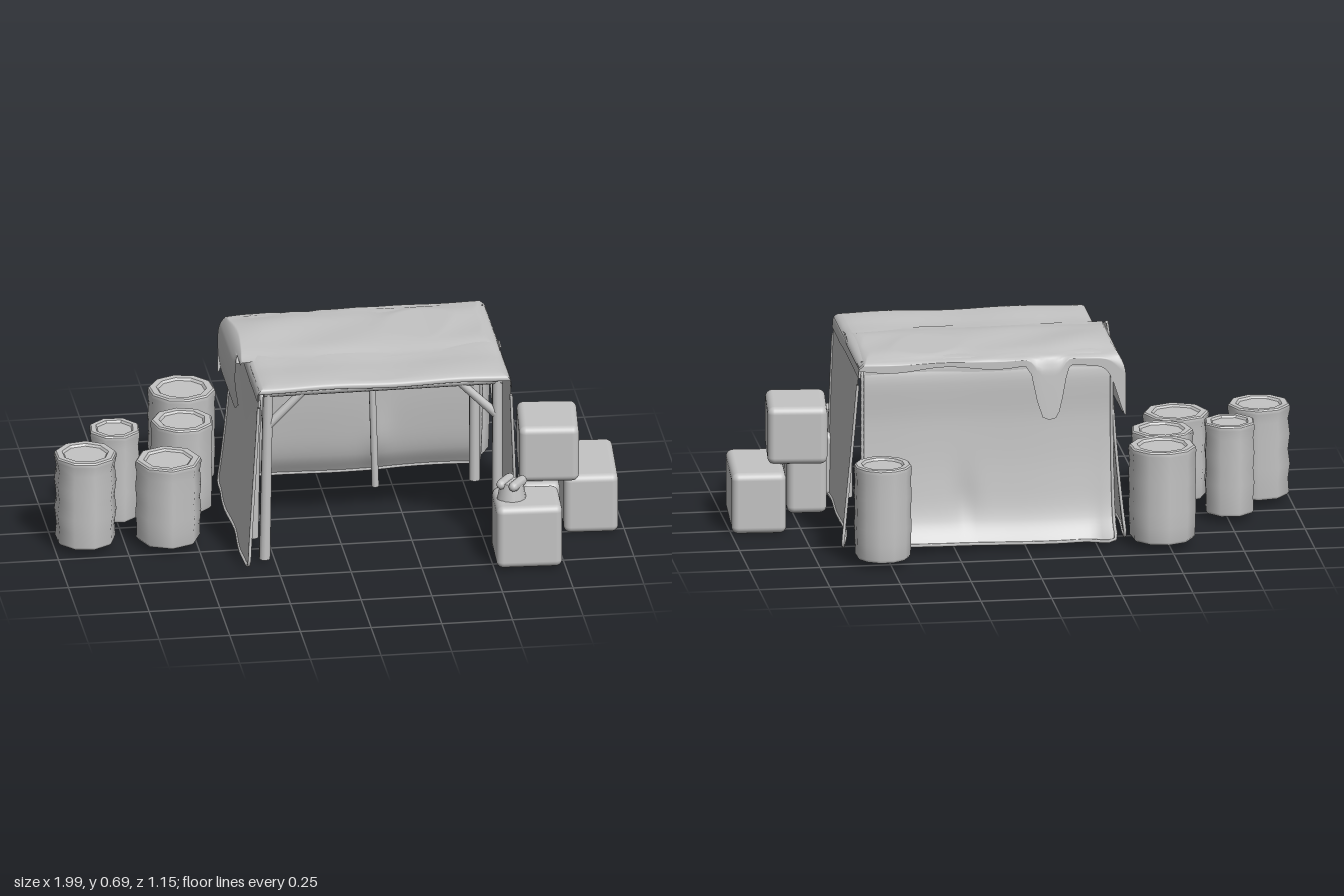
import * as THREE from 'three';
import { toCreasedNormals } from 'three/addons/utils/BufferGeometryUtils.js';
import { RoundedBoxGeometry } from 'three/addons/geometries/RoundedBoxGeometry.js';

const clay = new THREE.MeshStandardMaterial({ color: 0xc4c4c4, side: THREE.DoubleSide });
clay.name = 'greyClay';

const V = (x, y, z) => new THREE.Vector3(x, y, z);
const lerp = THREE.MathUtils.lerp;
const bump = (x, centre, width) => Math.exp(-(((x - centre) / width) ** 2));

function add(parent, name, geometry, x = 0, y = 0, z = 0, turn = 0) {
  const mesh = new THREE.Mesh(geometry, clay);
  mesh.name = name;
  mesh.position.set(x, y, z);
  mesh.rotation.y = turn;
  parent.add(mesh);
  return mesh;
}

// Cloth surface: a grid whose points follow a rule of u and v in 0..1
function sheet(nu, nv, rule) {
  const g = new THREE.PlaneGeometry(1, 1, nu, nv);
  const p = g.attributes.position;
  for (let i = 0; i < p.count; i++) p.setXYZ(i, ...rule(p.getX(i) + 0.5, p.getY(i) + 0.5));
  g.computeVertexNormals();
  return g;
}

// Hanging wall with a rolled hem down both ends and along the ground
function addWall(parent, name, rule) {
  add(parent, name, sheet(40, 30, rule));
  const at = (u, v) => V(...rule(u, v));
  const path = [];
  for (let i = 0; i <= 8; i++) path.push(at(0, 0.9 - i * 0.11));
  for (let i = 0; i <= 10; i++) path.push(at(0.02 + i * 0.096, 0));
  for (let i = 0; i <= 8; i++) path.push(at(1, 0.02 + i * 0.11));
  add(parent, name + 'Hem', new THREE.TubeGeometry(new THREE.CatmullRomCurve3(path), 90, 0.006, 6));
}

// Smooth 2D path used as a cloth profile
function profile(points) {
  const curve = new THREE.CatmullRomCurve3(points.map(([a, b]) => V(a, b, 0)), false, 'centripetal');
  return t => curve.getPoint(t);
}

function pole(parent, name, a, b, r) {
  const mesh = add(parent, name, new THREE.CylinderGeometry(r * 0.9, r, a.distanceTo(b), 10));
  mesh.position.copy(a).add(b).multiplyScalar(0.5);
  mesh.quaternion.setFromUnitVectors(V(0, 1, 0), b.clone().sub(a).normalize());
}

function buildFrame() {
  const frame = new THREE.Group();
  frame.name = 'tentFrame';
  for (const [x, z] of [[-0.286, 0.355], [0.537, 0.355], [-0.3, 0.16], [-0.285, -0.22], [0.54, -0.24]])
    pole(frame, 'post', V(x, 0.01, z), V(x + (x < 0 ? 0.012 : 0), 0.65, z), 0.02);
  pole(frame, 'backPost', V(0.19, 0.003, -0.245), V(0.17, 0.65, -0.235), 0.013);
  for (const z of [0.355, -0.235]) {
    pole(frame, 'crossBeam', V(-0.29, 0.645, z), V(0.555, 0.645, z), 0.02);
    pole(frame, 'leftBrace', V(-0.275, 0.515, z), V(-0.15, 0.64, z), 0.016);
    pole(frame, 'rightBrace', V(0.53, 0.515, z), V(0.405, 0.64, z), 0.016);
  }
  for (const x of [-0.28, 0.535]) {
    pole(frame, 'sideBeam', V(x, 0.645, 0.36), V(x, 0.645, -0.25), 0.017);
    pole(frame, 'sideBrace', V(x, 0.52, 0.345), V(x, 0.635, 0.23), 0.014);
  }
  return frame;
}

function buildCloth() {
  const cloth = new THREE.Group();
  cloth.name = 'tentCloth';

  // Main roof, rolled over at every edge
  const roofX = profile([[-0.316, 0.62], [-0.315, 0.65], [-0.295, 0.671], [0.1, 0.673], [0.55, 0.675], [0.578, 0.658], [0.584, 0.62]]);
  const roofZ = profile([[0.375, 0.65], [0.39, 0.652], [0.39, 0.666], [0.365, 0.675], [0.05, 0.676], [-0.245, 0.675], [-0.272, 0.655], [-0.276, 0.62]]);
  add(cloth, 'roof', sheet(60, 60, (u, v) => {
    const a = roofX(u), b = roofZ(v);
    const wave = 0.003 * Math.sin(a.x * 14 + b.x * 6) - 0.004 * bump(b.x, 0.2, 0.05);
    return [a.x, Math.min(a.y, b.y) + wave, b.x];
  }));

  // Loose second cover with a left overhang and a rounded tongue at the back
  const coverX = profile([[-0.35, 0.46], [-0.362, 0.56], [-0.352, 0.645], [-0.31, 0.694], [-0.1, 0.69], [0.3, 0.684], [0.545, 0.68], [0.582, 0.655]]);
  add(cloth, 'roofCover', sheet(140, 50, (u, v) => {
    const a = coverX(u);
    const tongue = Math.exp(-(((a.x + 0.09) / 0.055) ** 4));
    const side = bump(a.x, -0.37, 0.05);
    const drop = 0.03 + 0.2 * Math.max(tongue, side) + 0.008 * Math.sin(a.x * 17);
    const rear = -0.25 - 0.018 * bump(a.x, -0.1, 0.06) - 0.02 * bump(a.x, 0.13, 0.07) - 0.015 * bump(a.x, 0.56, 0.1);
    const z = v < 0.7
      ? lerp(0.155 + 0.012 * Math.sin(a.x * 9), rear, v / 0.7)
      : 0;
    if (v < 0.7) {
      const ridge = 0.01 * bump(a.x, -0.22, 0.12) + 0.012 * bump(a.x, 0.33, 0.1);
      const top = 0.683 + ridge * bump(z, -0.12, 0.14) + 0.002 * Math.sin(a.x * 12 + z * 20) - 0.01 * bump(v, 0, 0.1);
      const hang = a.y < 0.66 ? 0.05 * bump(v, 0, 0.1) : 0;
      return [a.x, Math.min(a.y + hang, top - 0.008 * bump(v, 0.7, 0.1)), z];
    }
    const t = (v - 0.7) / 0.3;
    const back = lerp(rear, -0.287, Math.min(1, Math.sqrt(t * 3)));
    return [a.x, Math.min(a.y, 0.675 - drop * t ** 1.3), back - 0.016 * t * tongue];
  }));

  // Back wall sweeping outwards at the ground
  const backEdge = profile([[-0.24, 0.672], [-0.273, 0.642], [-0.277, 0.45], [-0.292, 0.25], [-0.318, 0.1], [-0.357, 0.025]]);
  addWall(cloth, 'backWall', (u, v) => {
    const b = backEdge(1 - v), low = 1 - v;
    const x = lerp(-0.312, 0.57, u);
    const fold = 0.004 * Math.sin(x * 13) * low + 0.012 * bump(x, 0.21, 0.04) * bump(b.y, 0.16, 0.1);
    return [x, b.y - 0.004 * low * Math.sin(u * 5), b.x + fold - 0.035 * bump(u, 0, 0.05) * low ** 3];
  });

  // Left-hand wall (+x), flaring at the rear hem
  addWall(cloth, 'crateSideWall', (u, v) => {
    const low = 1 - v;
    const z = lerp(0.385, -0.27 - 0.05 * low ** 2, u);
    return [0.579 + 0.022 * low + 0.04 * low * u ** 4 + 0.004 * Math.sin(z * 15 + v * 3) * low, lerp(0.02, 0.66, v), z];
  });

  // Right-hand wall (-x), spreading towards the front corner
  addWall(cloth, 'barrelSideWall', (u, v) => {
    const low = 1 - v;
    const z = lerp(0.38 + 0.07 * low ** 2, -0.27 - 0.055 * low ** 2, u);
    return [-0.309 - 0.05 * low ** 1.4 + 0.005 * Math.sin(z * 16) * low, lerp(0.02, 0.66, v), z];
  });
  return cloth;
}

// Barrel: smooth banded staves, with a crisp rim, sunken lid and flat base
function buildBarrel(x, z, r, top, sides, turn, wear) {
  const base = 0.028, h = top - base;
  const barrel = new THREE.Group();
  barrel.name = 'barrel';
  const turned = pts => new THREE.LatheGeometry(pts.map(([a, b]) => new THREE.Vector2(a * r, b * h)), sides);
  add(barrel, 'barrelStaves', turned([[0.9, 0], [0.96, 0.03], [1 - wear, 0.18], [0.99, 0.34], [1 - wear, 0.5],
    [0.99, 0.67], [1 - wear, 0.84], [1, 0.95], [0.98, 0.985]]), x, base, z, turn);
  const lid = turned([[0.98, 0.985], [0.93, 1], [0.74, 0.998], [0.68, 0.975], [0, 0.975]]);
  add(barrel, 'barrelLid', toCreasedNormals(lid, 0.4), x, base, z, turn);
  add(barrel, 'barrelBase', turned([[0, 0], [0.9, 0]]), x, base, z, turn);
  return barrel;
}

function buildCrates() {
  const crates = new THREE.Group();
  crates.name = 'crates';
  // width, height, depth, x, bottom, z, turn
  [
    [0.21, 0.208, 0.262, 0.74, 0.218, 0.18, -0.1],
    [0.192, 0.22, 0.345, 0.892, 0.003, 0.11, -0.07],
    [0.14, 0.208, 0.15, 0.7, 0.006, 0.235, -0.05],
    [0.232, 0.232, 0.21, 0.627, 0.008, 0.467, -0.05],
  ].forEach(([w, h, d, x, y, z, turn]) =>
    add(crates, 'crate', new RoundedBoxGeometry(w, h, d, 4, 0.025), x, y + h / 2, z, turn));

  // Tied bundle on the front crate
  add(crates, 'bundle', new THREE.CylinderGeometry(0.04, 0.053, 0.07, 12), 0.572, 0.265, 0.465);
  for (const s of [-1, 1]) {
    const knot = add(crates, 'bundleKnot', new THREE.CapsuleGeometry(0.018, 0.065, 4, 8), 0.572 + s * 0.02, 0.295, 0.465 + s * 0.013);
    knot.rotation.set(Math.PI / 2, 0, 0.6);
  }
  return crates;
}

export function createModel() {
  const model = new THREE.Group();
  model.name = 'marketTent';
  model.add(buildFrame(), buildCloth(), buildCrates());

  const barrels = new THREE.Group();
  barrels.name = 'barrels';
  [
    [-0.89, 0.14, 0.112, 0.358, 9, 0.2, 0.07],
    [-0.6, 0.165, 0.118, 0.33, 8, 0, 0.05],
    [-0.757, -0.07, 0.094, 0.357, 8, 0.3, 0.06],
    [-0.51, -0.12, 0.112, 0.352, 9, 0.4, 0.03],
    [-0.478, -0.37, 0.12, 0.366, 10, 0.1, 0.03],
    [0.525, -0.478, 0.102, 0.366, 12, 0.3, 0.03],
  ].forEach(b => barrels.add(buildBarrel(...b)));
  model.add(barrels);
  return model;
}
